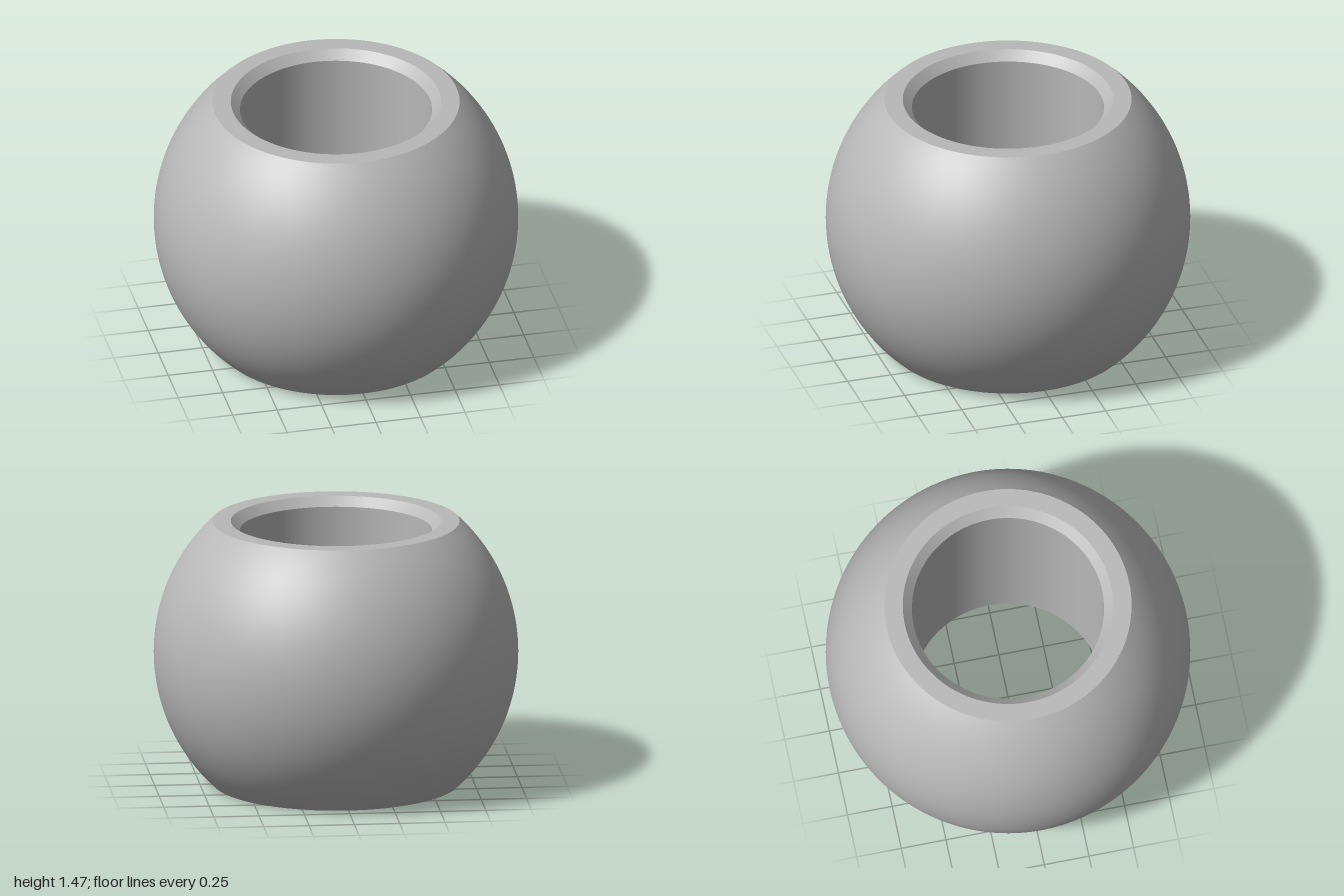
import * as THREE from 'three';

export function createModel() {
  const group = new THREE.Group();
  group.name = 'sphericalBead';
  const metal = new THREE.MeshStandardMaterial({ color: 0xb8b8b8 });
  metal.name = 'grey metal';

  const radius = 1, height = 1.47, mid = height / 2;
  const bore = 0.527, chamfer = 0.05;
  const rim = Math.sqrt(radius * radius - mid * mid);
  const mouth = bore + chamfer;

  // Each surface is its own lathe, so the edges between them stay sharp
  const addLathe = (name, points) => {
    const profile = points.map(([r, y]) => new THREE.Vector2(r, y));
    const mesh = new THREE.Mesh(new THREE.LatheGeometry(profile, 128), metal);
    mesh.name = name;
    group.add(mesh);
  };

  // Outer spherical band, from the bottom rim to the top rim
  const limit = Math.asin(mid / radius), steps = 48;
  const band = [];
  for (let i = 0; i <= steps; i++) {
    const a = -limit + (2 * limit * i) / steps;
    band.push([radius * Math.cos(a), mid + radius * Math.sin(a)]);
  }
  addLathe('sphericalBody', band);

  // Flat rims, chamfers and the through bore
  addLathe('topRim', [[rim, height], [mouth, height]]);
  addLathe('topChamfer', [[mouth, height], [bore, height - chamfer]]);
  addLathe('boreWall', [[bore, height - chamfer], [bore, chamfer]]);
  addLathe('bottomChamfer', [[bore, chamfer], [mouth, 0]]);
  addLathe('bottomRim', [[mouth, 0], [rim, 0]]);

  return group;
}
